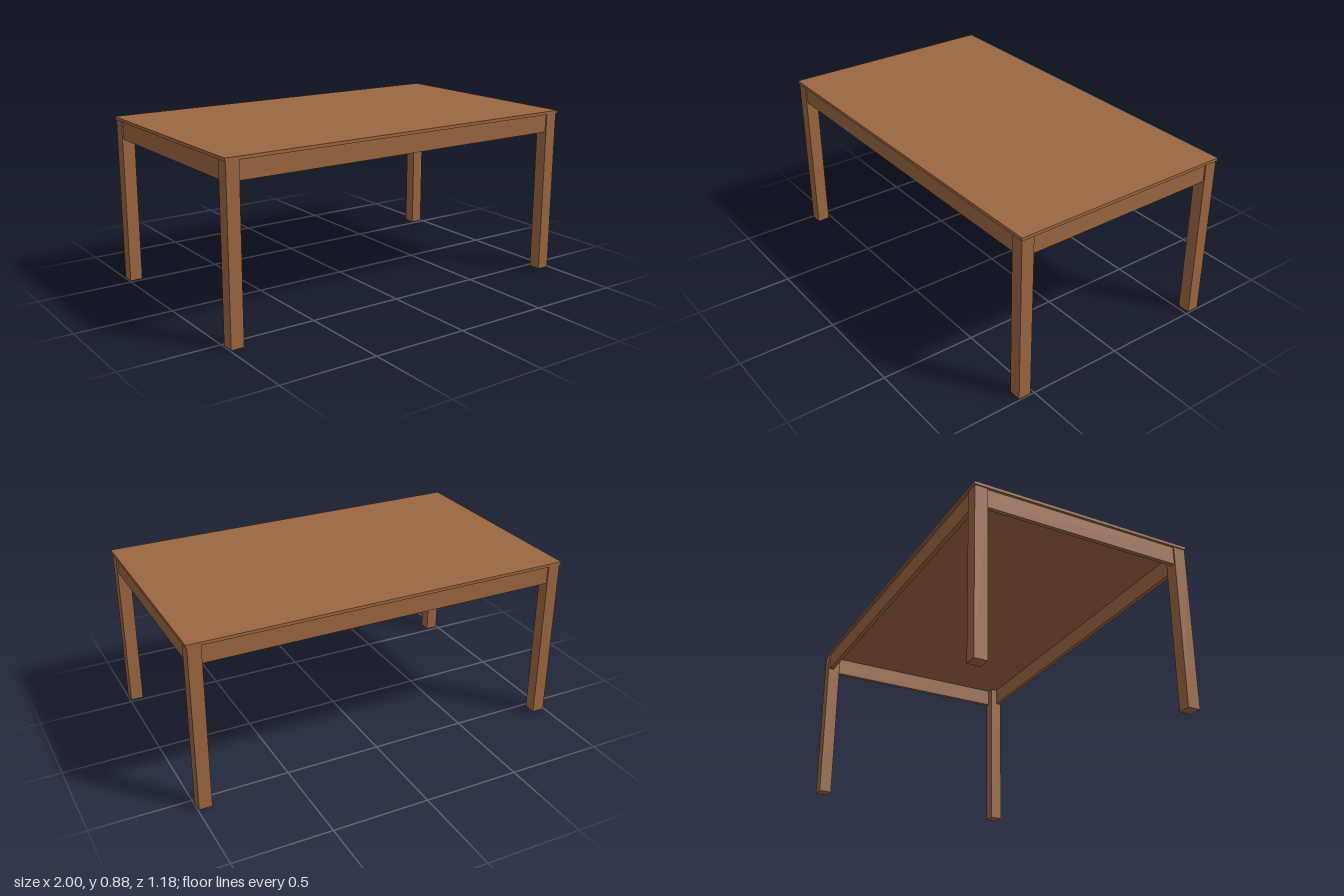
import * as THREE from 'three';

export function createModel() {
  const table = new THREE.Group();
  table.name = 'table';
  const wood = new THREE.MeshStandardMaterial({ color: 0x9c6740 });
  wood.name = 'brown wood';

  function box(name, w, h, d, x, y, z) {
    const mesh = new THREE.Mesh(new THREE.BoxGeometry(w, h, d), wood);
    mesh.name = name;
    mesh.position.set(x, y, z);
    table.add(mesh);
  }

  const height = 0.877, slab = 0.016, under = height - slab;
  const leg = 0.066, legX = 0.961, legZ = 0.551;
  const apronH = 0.095, apronT = 0.022, recess = 0.007;
  const apronY = under - apronH / 2;
  const inset = leg / 2 - recess - apronT / 2;

  // Thin slab, slightly overhanging the frame
  box('tabletop', 2, slab, 1.176, 0, height - slab / 2, 0);

  for (const s of [-1, 1]) {
    // Square legs at the corners
    for (const t of [-1, 1]) {
      const name = (t > 0 ? 'front' : 'back') + (s > 0 ? 'Left' : 'Right') + 'Leg';
      box(name, leg, under, leg, s * legX, under / 2, t * legZ);
    }
    // Aprons between the legs, set back a little from their outer faces
    box(s > 0 ? 'frontApron' : 'backApron',
      2 * legX - leg, apronH, apronT, 0, apronY, s * (legZ + inset));
    box(s > 0 ? 'leftApron' : 'rightApron',
      apronT, apronH, 2 * legZ - leg, s * (legX + inset), apronY, 0);
  }

  return table;
}
